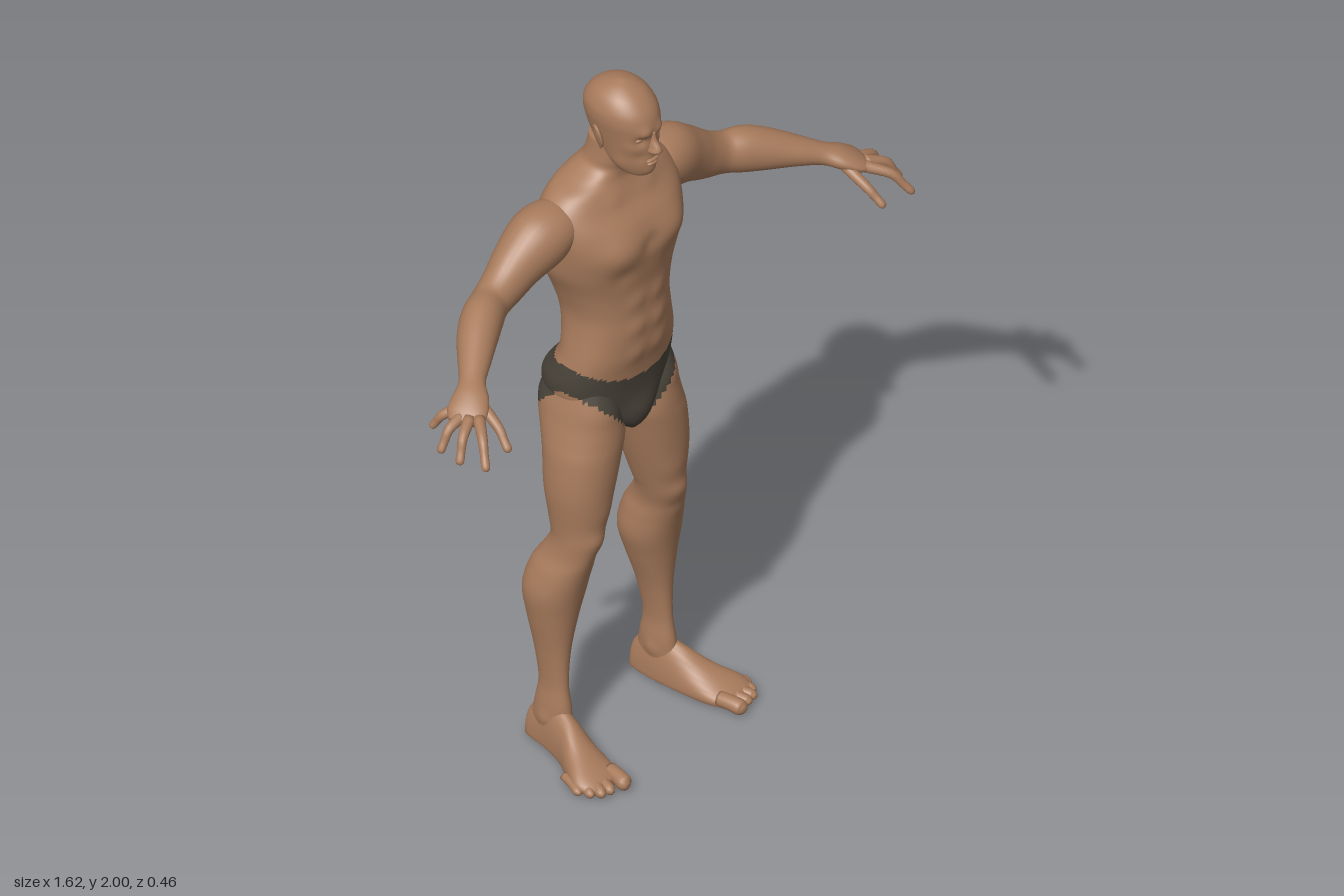
import * as THREE from 'three';

const skin = new THREE.MeshStandardMaterial({ color: 0xa87b5c });
skin.name = 'skin';
const cloth = new THREE.MeshStandardMaterial({ color: 0x4a443a });
cloth.name = 'dark cloth';

// Catmull-Rom blend between rows of numbers
function refine(rows, n) {
  const out = [];
  const at = (i) => rows[Math.min(Math.max(i, 0), rows.length - 1)];
  for (let i = 0; i < rows.length - 1; i++) {
    for (let k = 0; k < n; k++) {
      const t = k / n;
      out.push(rows[i].map((b, j) => {
        const a = at(i - 1)[j], c = at(i + 1)[j], d = at(i + 2)[j];
        return 0.5 * (2 * b + (c - a) * t + (2 * a - 5 * b + 4 * c - d) * t * t + (3 * b - a - 3 * c + d) * t * t * t);
      }));
    }
  }
  out.push(rows[rows.length - 1]);
  return out;
}

const angles = (n) => Array.from({ length: n }, (_, i) => (i / n) * Math.PI * 2);
const power = (v, p) => Math.sign(v) * Math.abs(v) ** (2 / p);

// Upright cross-sections: [y, xMin, xMax, zFront, zBack]
function uprightRings(rows, steps, seg, p = 2) {
  return refine(rows, steps).map(([y, x0, x1, zf, zb]) => angles(seg).map((a) => new THREE.Vector3(
    (x0 + x1) / 2 + (x1 - x0) / 2 * power(Math.cos(a), p), y,
    (zf + zb) / 2 + (zf - zb) / 2 * power(Math.sin(a), p))));
}

// Limb cross-sections along a path: [x, y, z, half height, half width]
function limbRings(rows, steps, seg) {
  const path = refine(rows, steps);
  return path.map(([x, y, z, rv, rh], i) => {
    const a = path[Math.max(i - 1, 0)], b = path[Math.min(i + 1, path.length - 1)];
    const dir = new THREE.Vector3(b[0] - a[0], b[1] - a[1], b[2] - a[2]).normalize();
    const side = new THREE.Vector3().crossVectors(dir, new THREE.Vector3(0, 1, 0)).normalize();
    const up = new THREE.Vector3().crossVectors(side, dir);
    return angles(seg).map((t) => new THREE.Vector3(x, y, z)
      .addScaledVector(side, rh * Math.cos(t)).addScaledVector(up, rv * Math.sin(t)));
  });
}

// Foot cross-sections from heel to ball with a flat underside: [z, xMin, xMax, top]
function footRings(rows, steps, seg) {
  const base = 0.018;
  return refine(rows, steps).map(([z, x0, x1, top]) => angles(seg).map((a) => {
    const h = Math.sin(a);
    return new THREE.Vector3((x0 + x1) / 2 + (x1 - x0) / 2 * Math.cos(a),
      base + (h > 0 ? h * (top - base) : power(h, 5) * base), z);
  }));
}

// Soft muscle bumps, mirrored in x: [x, y, z, radius, amount]
function sculpt(rings, bumps) {
  for (const ring of rings) {
    const mid = ring.reduce((m, p) => m.add(p), new THREE.Vector3()).divideScalar(ring.length);
    for (const p of ring) {
      const out = p.clone().sub(mid).normalize();
      let push = 0;
      for (const [x, y, z, r, amt] of bumps) {
        const d2 = (Math.abs(p.x) - x) ** 2 + (p.y - y) ** 2 + (p.z - z) ** 2;
        push += amt * Math.exp(-d2 / (r * r));
      }
      p.addScaledVector(out, push);
    }
  }
}

// Region covered by the briefs
function inBriefs(p) {
  const ax = Math.abs(p.x), side = Math.min(ax / 0.175, 1);
  const front = THREE.MathUtils.smoothstep(p.z, -0.19, -0.07);
  const waist = THREE.MathUtils.lerp(1.165, 1.122, front) + front * 0.055 * side * side;
  const legFront = 0.935 + 0.165 * THREE.MathUtils.clamp((ax - 0.03) / 0.15, 0, 1) ** 0.75;
  const legBack = 0.955 + 0.06 * side * side;
  return p.y < waist && p.y > THREE.MathUtils.lerp(legBack, legFront, front);
}

// Skin over rings, capped and turned outward; sx = -1 mirrors
function loft(name, rings, sx = 1, clothed = false) {
  const n = rings[0].length, pts = rings.flat().map((p) => new THREE.Vector3(p.x * sx, p.y, p.z));
  const tris = [];
  for (let i = 0; i < rings.length - 1; i++) {
    for (let j = 0; j < n; j++) {
      const a = i * n + j, b = i * n + (j + 1) % n;
      tris.push([a, a + n, b], [b, a + n, b + n]);
    }
  }
  for (const [start, flip] of [[0, false], [(rings.length - 1) * n, true]]) {
    const mid = new THREE.Vector3();
    for (let j = 0; j < n; j++) mid.addScaledVector(pts[start + j], 1 / n);
    const c = pts.push(mid) - 1;
    for (let j = 0; j < n; j++) {
      const a = start + j, b = start + (j + 1) % n;
      tris.push(flip ? [b, a, c] : [a, b, c]);
    }
  }
  const volume = tris.reduce((v, [a, b, c]) => v + pts[a].dot(pts[b].clone().cross(pts[c])), 0);
  if (volume < 0) tris.forEach((t) => t.reverse());
  const covered = ([a, b, c]) => clothed && inBriefs(pts[a].clone().add(pts[b]).add(pts[c]).divideScalar(3));
  const bare = tris.filter((t) => !covered(t)), dressed = tris.filter(covered);
  const geo = new THREE.BufferGeometry().setFromPoints(pts);
  geo.setIndex([...bare, ...dressed].flat());
  geo.computeVertexNormals();
  if (clothed) {
    geo.addGroup(0, bare.length * 3, 0);
    geo.addGroup(bare.length * 3, dressed.length * 3, 1);
  }
  const mesh = new THREE.Mesh(geo, clothed ? [skin, cloth] : skin);
  mesh.name = name;
  return mesh;
}

function ball(name, pos, size) {
  const mesh = new THREE.Mesh(new THREE.SphereGeometry(1, 20, 14), skin);
  mesh.name = name;
  mesh.position.set(...pos);
  mesh.scale.set(...size);
  return mesh;
}

const symmetric = (rows) => rows.map(([y, w, zf, zb]) => [y, -w, w, zf, zb]);

export function createModel() {
  const body = new THREE.Group();
  body.name = 'standingMan';

  // Torso, pelvis and neck
  const torso = uprightRings(symmetric([
    [0.935, 0.02, 0.005, -0.1], [0.96, 0.06, 0.02, -0.165], [1.0, 0.12, 0.026, -0.198], [1.05, 0.165, 0.03, -0.212],
    [1.1, 0.177, 0.034, -0.212], [1.15, 0.173, 0.04, -0.183], [1.2, 0.163, 0.048, -0.165], [1.27, 0.15, 0.052, -0.172],
    [1.33, 0.148, 0.05, -0.187], [1.4, 0.165, 0.05, -0.208], [1.47, 0.188, 0.058, -0.222], [1.54, 0.203, 0.062, -0.226],
    [1.6, 0.21, 0.042, -0.216], [1.65, 0.205, 0.008, -0.2], [1.69, 0.17, -0.012, -0.186], [1.715, 0.115, -0.02, -0.172],
    [1.74, 0.073, -0.018, -0.155], [1.77, 0.063, -0.008, -0.14], [1.82, 0.058, 0, -0.13],
  ]), 6, 64, 2.3);
  const spine = [1.2, 1.27, 1.34, 1.41, 1.48, 1.55, 1.62].map((y) => [0, y, -0.21, 0.035, -0.01]);
  const abs = [1.21, 1.29, 1.37].map((y) => [0.035, y, 0.05, 0.027, 0.006]);
  sculpt(torso, [...spine, ...abs,
    [0.09, 1.545, 0.05, 0.055, 0.014], [0, 1.54, 0.07, 0.025, -0.01], [0.09, 1.465, 0.05, 0.03, -0.006],
    [0.1, 1.56, -0.2, 0.06, 0.014], [0.185, 1.47, -0.1, 0.06, 0.007], [0.06, 1.67, -0.01, 0.025, 0.005],
    [0.085, 1.06, -0.2, 0.06, 0.016], [0, 1.04, -0.21, 0.028, -0.025], [0, 1.0, 0.03, 0.05, 0.014]]);
  body.add(loft('torso', torso, 1, true));

  // Head
  const head = new THREE.Group();
  head.name = 'head';
  const skull = uprightRings(symmetric([
    [1.742, 0.022, 0.04, -0.02], [1.755, 0.04, 0.054, -0.05], [1.785, 0.054, 0.064, -0.095], [1.82, 0.062, 0.066, -0.118],
    [1.85, 0.068, 0.066, -0.133], [1.88, 0.074, 0.068, -0.143], [1.91, 0.079, 0.066, -0.148], [1.94, 0.077, 0.054, -0.143],
    [1.97, 0.062, 0.027, -0.12], [1.99, 0.036, -0.006, -0.084], [2.0, 0.006, -0.034, -0.048],
  ]), 5, 48, 2.1);
  sculpt(skull, [[0.03, 1.867, 0.055, 0.015, -0.01], [0.024, 1.889, 0.062, 0.015, 0.008], [0.048, 1.845, 0.035, 0.02, 0.004],
    [0, 1.765, 0.055, 0.02, 0.006], [0.03, 1.815, 0.055, 0.016, -0.004], [0.05, 1.78, 0, 0.025, 0.004]]);
  head.add(loft('skull', skull));
  head.add(loft('nose', uprightRings(symmetric([
    [1.888, 0.007, 0.072, 0.045], [1.865, 0.009, 0.077, 0.045], [1.845, 0.013, 0.091, 0.045],
    [1.832, 0.017, 0.092, 0.045], [1.822, 0.009, 0.076, 0.045]]), 4, 20)));
  head.add(ball('upperLip', [0, 1.802, 0.064], [0.021, 0.005, 0.008]));
  head.add(ball('lowerLip', [0, 1.791, 0.063], [0.018, 0.006, 0.009]));
  body.add(head);

  for (const s of [1, -1]) {
    const label = (part) => (s > 0 ? 'left' : 'right') + part;

    // Eye and ear
    head.add(ball(label('Eye'), [s * 0.03, 1.867, 0.044], [0.013, 0.008, 0.01]));
    const ear = ball(label('Ear'), [s * 0.083, 1.865, -0.043], [0.008, 0.034, 0.021]);
    ear.rotation.set(-0.15, s * 0.45, -s * 0.15);
    const rim = new THREE.Mesh(new THREE.TorusGeometry(0.9, 0.17, 8, 24), skin);
    rim.name = 'earRim';
    rim.rotation.y = Math.PI / 2;
    rim.position.x = s * 0.6;
    ear.add(rim);
    head.add(ear);

    // Arm from shoulder to knuckles
    const arm = limbRings([
      [0.12, 1.62, -0.1, 0.04, 0.05], [0.18, 1.615, -0.102, 0.068, 0.075], [0.235, 1.595, -0.107, 0.084, 0.08],
      [0.3, 1.56, -0.11, 0.074, 0.068], [0.36, 1.525, -0.106, 0.064, 0.056], [0.42, 1.504, -0.096, 0.056, 0.05],
      [0.475, 1.497, -0.072, 0.062, 0.054], [0.53, 1.484, -0.038, 0.054, 0.052], [0.59, 1.468, 0.008, 0.038, 0.042],
      [0.64, 1.452, 0.047, 0.027, 0.034], [0.675, 1.438, 0.075, 0.025, 0.046], [0.71, 1.42, 0.095, 0.02, 0.052],
      [0.735, 1.407, 0.105, 0.011, 0.04]], 5, 28);
    body.add(loft(label('Arm'), arm, s));

    // Fingers: base, middle joint and tip
    const hand = new THREE.Group();
    hand.name = label('Fingers');
    const fingers = {
      thumb: [[0.665, 1.425, 0.1], [0.672, 1.39, 0.165], [0.685, 1.345, 0.215]],
      indexFinger: [[0.705, 1.418, 0.13], [0.745, 1.4, 0.18], [0.78, 1.342, 0.225]],
      middleFinger: [[0.72, 1.418, 0.113], [0.77, 1.4, 0.137], [0.805, 1.342, 0.157]],
      ringFinger: [[0.725, 1.415, 0.09], [0.77, 1.4, 0.09], [0.805, 1.345, 0.09]],
      littleFinger: [[0.708, 1.42, 0.065], [0.737, 1.4, 0.038], [0.752, 1.357, 0.012]],
    };
    for (const [name, [a, b, c]] of Object.entries(fingers)) {
      const mix = (t) => b.map((v, i) => v + (c[i] - v) * t);
      const rows = [[...a, 0.015, 0.016], [...b, 0.013, 0.013], [...mix(0.5), 0.011, 0.011],
        [...mix(0.88), 0.01, 0.011], [...c, 0.003, 0.004]];
      hand.add(loft(name, limbRings(rows, 4, 14), s));
    }
    body.add(hand);

    // Leg
    const leg = uprightRings([
      [1.12, 0.06, 0.16, 0, -0.165], [1.05, 0.03, 0.181, 0.026, -0.2], [1.0, 0.014, 0.192, 0.031, -0.2],
      [0.95, 0.008, 0.204, 0.035, -0.184], [0.9, 0.022, 0.214, 0.036, -0.166], [0.8, 0.05, 0.22, 0.032, -0.15],
      [0.7, 0.08, 0.211, 0.02, -0.13], [0.65, 0.095, 0.21, 0.018, -0.122], [0.6, 0.104, 0.217, 0.008, -0.146],
      [0.55, 0.099, 0.236, -0.008, -0.174], [0.48, 0.096, 0.25, -0.026, -0.19], [0.4, 0.118, 0.24, -0.04, -0.178],
      [0.3, 0.148, 0.224, -0.05, -0.156], [0.2, 0.164, 0.216, -0.05, -0.14], [0.13, 0.16, 0.222, -0.04, -0.15],
      [0.07, 0.163, 0.222, -0.035, -0.16], [0.03, 0.168, 0.218, -0.04, -0.15]], 6, 40, 2.1);
    sculpt(leg, [[0.152, 0.665, 0.015, 0.03, 0.007], [0.13, 0.74, 0.015, 0.04, 0.005], [0.14, 0.6, 0.01, 0.025, -0.004],
      [0.16, 0.1, -0.09, 0.02, 0.006], [0.222, 0.09, -0.1, 0.02, 0.006]]);
    body.add(loft(label('Leg'), leg, s, true));

    // Foot and toes
    const foot = new THREE.Group();
    foot.name = label('Foot');
    foot.add(loft('sole', footRings([[-0.177, 0.182, 0.2, 0.05], [-0.163, 0.163, 0.218, 0.09], [-0.1, 0.157, 0.228, 0.135],
      [-0.03, 0.16, 0.247, 0.118], [0.03, 0.166, 0.28, 0.08], [0.08, 0.173, 0.307, 0.054], [0.115, 0.185, 0.303, 0.038],
      [0.135, 0.2, 0.285, 0.025]], 5, 28), s));
    [[0.2, 0.212, 0.18, 0.02], [0.236, 0.25, 0.165, 0.014], [0.256, 0.275, 0.158, 0.014],
      [0.274, 0.294, 0.138, 0.013], [0.288, 0.308, 0.108, 0.012]].forEach(([x0, x1, z, r], i) => {
      const toe = limbRings([[x0, r + 0.004, z - 0.075, r, r], [(x0 + x1) / 2, r + 0.004, z - 0.04, r, r],
        [x1, r, z - 0.012, r, r], [x1, r, z, r * 0.35, r * 0.4]], 4, 16);
      foot.add(loft('toe' + (i + 1), toe, s));
    });
    body.add(foot);
  }
  return body;
}
